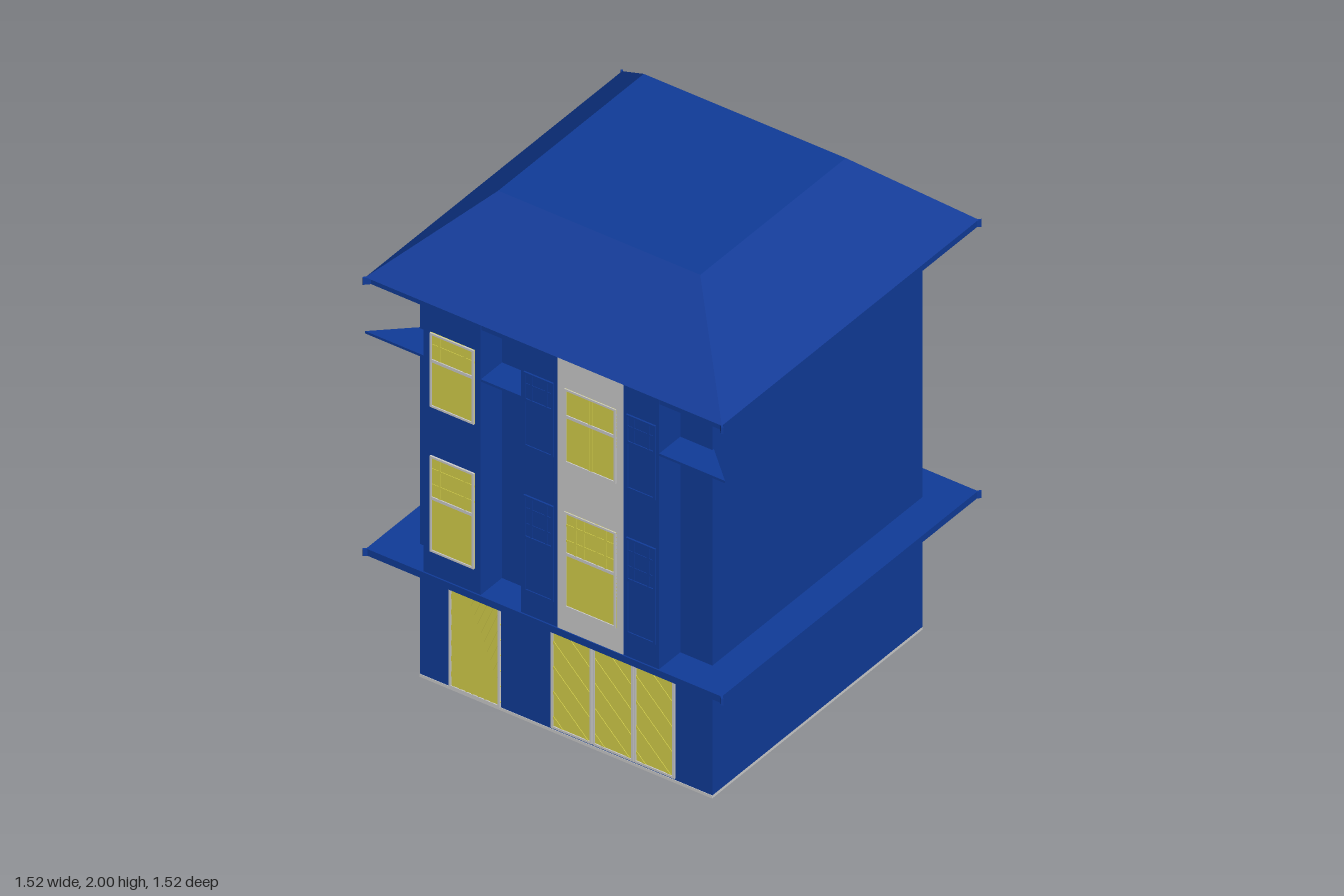
import * as THREE from 'three';

const mat = (color) => new THREE.MeshStandardMaterial({ color, flatShading: true });

export function createModel() {
  const house = new THREE.Group();
  const blue = mat(0x103b98), yellow = mat(0xd5d04b), grey = mat(0xcccccc);

  // Box given by its extents on each axis
  function box(name, x0, x1, y0, y1, z0, z1, material, parent = house) {
    const m = new THREE.Mesh(new THREE.BoxGeometry(x1 - x0, y1 - y0, z1 - z0), material);
    m.position.set((x0 + x1) / 2, (y0 + y1) / 2, (z0 + z1) / 2);
    m.name = name;
    parent.add(m);
    return m;
  }

  // Main walls, base and the two projecting bays
  box('base', -0.615, 0.615, 0, 0.012, -0.61, 0.62, grey);
  box('walls', -0.615, 0.615, 0.012, 1.69, -0.61, 0.618, blue);
  box('leftBay', -0.51, -0.27, 0.55, 1.688, 0.6, 0.742, blue);
  box('rightBay', -0.1, 0.48, 0.55, 1.688, 0.6, 0.742, blue);
  box('bayPanel', 0.055, 0.33, 0.555, 1.685, 0.7, 0.744, grey);

  // Hipped roof with a flat top
  const roofGeo = new THREE.CylinderGeometry(0.425 * Math.SQRT2, 0.75 * Math.SQRT2, 0.31, 4);
  roofGeo.rotateY(Math.PI / 4);
  const roof = new THREE.Mesh(roofGeo, blue);
  roof.position.y = 1.845;
  roof.name = 'roof';
  house.add(roof);

  // Stepped cornices under the roof and above the shop floor
  function cornice(name, top, step) {
    const group = new THREE.Group();
    group.name = name;
    const reach = [0.748, 0.69, 0.66, 0.635];
    let y = top;
    reach.forEach((r, i) => {
      const h = i === 0 ? 0.028 : step;
      const h2 = i === 0 && name === 'roofCornice' ? 0.739 : r;
      box('corniceStep', -r, r, y - h, y, -r, h2, blue, group);
      y -= h;
    });
    // Small pointed tips at the corners
    for (const sx of [-1, 1]) for (const sz of [-1, 1]) {
      const tip = box('cornerTip', -0.015, 0.015, top - 0.028, top, -0.004, 0.004, blue, group);
      tip.position.set(sx * 0.746, top - 0.014, sz * 0.746);
      tip.rotation.y = -sx * sz * Math.PI / 4;
    }
    house.add(group);
  }
  cornice('roofCornice', 1.69, 0.02);
  cornice('shopCornice', 0.555, 0.02);

  // Thin mitred ledge across the front
  const ledgeShape = new THREE.Shape([
    new THREE.Vector2(-0.61, -0.605), new THREE.Vector2(-0.757, -0.741),
    new THREE.Vector2(0.757, -0.741), new THREE.Vector2(0.61, -0.605),
  ]);
  const ledgeGeo = new THREE.ExtrudeGeometry(ledgeShape, { depth: 0.01, bevelEnabled: false });
  ledgeGeo.rotateX(-Math.PI / 2);
  const ledge = new THREE.Mesh(ledgeGeo, blue);
  ledge.position.y = 1.447;
  ledge.name = 'ledge';
  house.add(ledge);

  // Four-sided frame around an opening
  function frame(x0, x1, y0, y1, z, t, material, group) {
    box('frameSide', x0, x0 + t, y0, y1, z, z + 0.007, material, group);
    box('frameSide', x1 - t, x1, y0, y1, z, z + 0.007, material, group);
    box('frameRail', x0 + t, x1 - t, y0, y0 + t, z, z + 0.007, material, group);
    box('frameRail', x0 + t, x1 - t, y1 - t, y1, z, z + 0.007, material, group);
  }

  // Sash window: verticals above the middle bar, or full height
  function sashWindow(name, x0, x1, y0, y1, mid, verticals, horizontals, lit, full = false) {
    const group = new THREE.Group();
    group.name = name;
    const z = 0.742, glass = lit ? yellow : blue, trim = lit ? grey : blue;
    box('pane', x0, x1, y0, y1, z - 0.01, z + 0.003, glass, group);
    frame(x0, x1, y0, y1, z, 0.008, trim, group);
    box('middleBar', x0, x1, mid - 0.006, mid + 0.006, z, z + 0.007, trim, group);
    for (const x of verticals)
      box('glazingBar', x - 0.004, x + 0.004, full ? y0 : mid, y1, z, z + 0.005, glass, group);
    for (const y of horizontals)
      box('glazingBar', x0, x1, y - 0.004, y + 0.004, z, z + 0.005, glass, group);
    house.add(group);
  }
  const upper = [1.26, 1.57, 1.455], lower = [0.655, 1.055, 0.88];
  sashWindow('leftUpperWindow', -0.48, -0.295, ...upper, [-0.44, -0.335], [1.52], true);
  sashWindow('leftLowerWindow', -0.48, -0.295, ...lower, [-0.44, -0.335], [0.935, 1.0], true);
  sashWindow('centreUpperWindow', 0.085, 0.302, ...upper, [0.188, 0.198], [], true, true);
  sashWindow('centreLowerWindow', 0.085, 0.302, ...lower, [0.13, 0.165, 0.22, 0.257], [0.935, 1.0], true);
  for (const x of [-0.085, 0.345]) {
    sashWindow('sideUpperWindow', x, x + 0.123, ...upper, [x + 0.03, x + 0.093], [1.52], false);
    sashWindow('sideLowerWindow', x, x + 0.123, ...lower, [x + 0.03, x + 0.093], [0.935, 1.0], false);
  }

  // Glazed panel crossed by slanted bars, each clipped to the panel
  function barredPanel(name, x0, x1, y0, y1, slope, spacing, width) {
    const group = new THREE.Group();
    group.name = name;
    box('pane', x0, x1, y0, y1, 0.61, 0.621, yellow, group);
    frame(x0, x1, y0, y1, 0.618, 0.009, grey, group);
    const ys = y1 - y0, run = ys / slope;
    const from = x0 - Math.max(run, 0), to = x1 - Math.min(run, 0);
    for (let s = from + spacing / 2; s < to; s += spacing) {
      const xa = THREE.MathUtils.clamp(s, x0, x1), xb = THREE.MathUtils.clamp(s + run, x0, x1);
      const ya = y0 + (xa - s) * slope, yb = y0 + (xb - s) * slope;
      const length = Math.hypot(xb - xa, yb - ya);
      if (length < 0.03) continue;
      const bar = box('slantedBar', 0, length - 0.01, 0, width, 0.618, 0.623, yellow, group);
      bar.position.set((xa + xb) / 2, (ya + yb) / 2, 0.6205);
      bar.rotation.z = Math.atan2(yb - ya, xb - xa);
    }
    house.add(group);
  }
  barredPanel('door', -0.49, -0.275, 0.012, 0.467, 2.4, 0.027, 0.008);
  [-0.06, 0.115, 0.288].forEach((x) =>
    barredPanel('shopWindow', x, x + 0.172, 0.02, 0.467, -1, 0.105, 0.01));

  return house;
}
